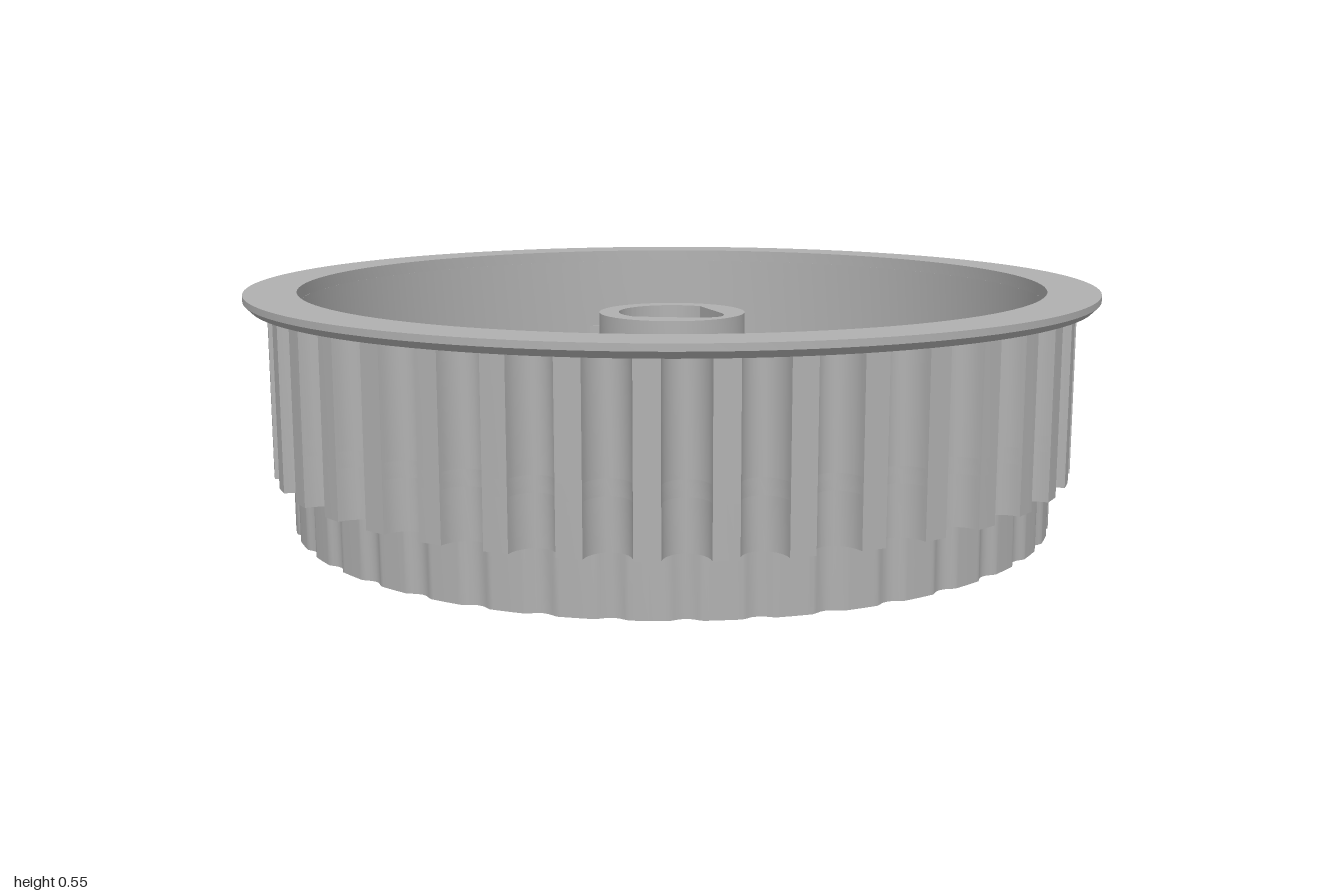
import * as THREE from 'three';
import { toCreasedNormals } from 'three/addons/utils/BufferGeometryUtils.js';

const TEETH = 40;
const WALL_R = 0.88;      // upper bowl
const CAVITY_R = 0.84;    // underside cavity
const RAD = Math.PI / 180;

// Screw positions in (x, z): r = hole, bore = counterbore, post = underside post
const screws = [
  { x: 0.73, z: 0.14, r: 0.068, bore: 0.105, post: 0.16 },
  { x: 0.14, z: 0.73, r: 0.068, bore: 0.105, post: 0.16 },
  { x: -0.73, z: -0.15, r: 0.052, bore: 0.052, post: 0.12 },
  { x: -0.15, z: -0.73, r: 0.052, bore: 0.052, post: 0.12 },
];

const circle = (x, z, r) => new THREE.Path().absarc(x, z, r, 0, Math.PI * 2);
const disc = (r) => new THREE.Shape().absarc(0, 0, r, 0, Math.PI * 2);
const swap = (p) => new THREE.Vector2(p.y, p.x);

// Extrude an (x, z) shape between two heights
function slab(shape, y0, y1, holes = []) {
  shape.holes.push(...holes);
  const g = new THREE.ExtrudeGeometry(shape, { depth: y1 - y0, bevelEnabled: false, curveSegments: 40 });
  g.rotateX(Math.PI / 2).translate(0, y1, 0);
  return toCreasedNormals(g, 0.5);
}

// Toothed outline with rounded grooves, cut off at maxR
function toothShape(maxR = 1) {
  const pts = [];
  const pitch = 360 / TEETH;
  const steps = [-1.6, 0, 1.6, 1.7, 1.95, 2.4, 3, 3.7, 4.5, 5.3, 6, 6.6, 7.05, 7.3];
  for (let i = 0; i < TEETH; i++) {
    for (const s of steps) {
      const u = Math.min(1, Math.abs(s - 4.5) / 2.9);
      const r = Math.min(maxR, 0.947 - 0.057 * Math.sqrt(1 - u * u));
      const a = (i * pitch + s) * RAD;
      pts.push(new THREE.Vector2(r * Math.cos(a), r * Math.sin(a)));
    }
  }
  return new THREE.Shape(pts);
}

// Underside cavity: a circle interrupted by screw posts blended into the wall
function cavityPath() {
  const path = new THREE.Path();
  const f = 0.06, c = CAVITY_R - f;
  for (const s of screws) {
    const t = Math.atan2(s.z, s.x), d = Math.hypot(s.x, s.z);
    const delta = Math.acos((c * c + d * d - (s.post + f) ** 2) / (2 * c * d));
    const [p, q] = [t - delta, t + delta].map((a) => ({ a, x: c * Math.cos(a), z: c * Math.sin(a) }));
    const toPost = (k) => Math.atan2(s.z - k.z, s.x - k.x);
    const fromPost = (k) => Math.atan2(k.z - s.z, k.x - s.x);
    if (s !== screws[0]) path.absarc(0, 0, CAVITY_R, path.lastAngle, p.a, false);
    else path.firstAngle = p.a;
    path.absarc(p.x, p.z, f, p.a, toPost(p), false);
    path.absarc(s.x, s.z, s.post, fromPost(p), fromPost(q), true);
    path.absarc(q.x, q.z, f, toPost(q), q.a, false);
    path.lastAngle = q.a;
  }
  path.absarc(0, 0, CAVITY_R, path.lastAngle, path.firstAngle, false);
  return path;
}

// Thin rib flaring into the hub and the wall
function ribShape() {
  const s = new THREE.Shape();
  s.moveTo(-0.07, -0.15);
  s.quadraticCurveTo(-0.016, -0.18, -0.016, -0.24);
  s.lineTo(0, -0.74);
  s.quadraticCurveTo(0, -0.85, -0.15, -0.867);
  s.lineTo(0.02, -0.884);
  s.lineTo(0.2, -0.858);
  s.quadraticCurveTo(0.064, -0.85, 0.064, -0.74);
  s.lineTo(0.05, -0.24);
  s.quadraticCurveTo(0.05, -0.18, 0.1, -0.14);
  return s;
}

// Raised pad round the large opening, mirrored over the x = z diagonal
function padShape() {
  const half = new THREE.Path();
  half.moveTo(0.02, 0.14);
  half.lineTo(0.03, 0.172);
  half.quadraticCurveTo(0.145, 0.19, 0.131, 0.328);
  half.absarc(0.4, 0.4, 0.278, 195 * RAD, 135 * RAD, true);
  half.absarc(0.14, 0.73, 0.14, -62 * RAD, 60 * RAD, false);
  half.absarc(0, 0, 0.883, 76.5 * RAD, 46 * RAD, true);
  const pts = half.getPoints(24);
  return new THREE.Shape([...pts, ...pts.map(swap).reverse()]);
}

// Keyed recess in the hub top: round with one blunt corner
function keyPath() {
  const p = new THREE.Path();
  p.absarc(0, 0, 0.128, 141 * RAD, 309 * RAD, false);
  p.lineTo(0.115, 0.04);
  p.quadraticCurveTo(0.128, 0.128, 0.04, 0.115);
  p.closePath();
  return p;
}

export function createModel() {
  const model = new THREE.Group();
  model.name = 'toothedPulley';
  const grey = new THREE.MeshStandardMaterial({ color: 0xb0b0b0 });
  grey.name = 'grey';
  const add = (name, geometry) => {
    const mesh = new THREE.Mesh(geometry, grey);
    mesh.name = name;
    model.add(mesh);
  };
  const screwHoles = (key) => screws.map((s) => circle(s.x, s.z, s[key]));
  const opening = () => circle(0.4, 0.4, 0.225);

  // Body, from the bottom up
  add('lowerRing', slab(toothShape(0.903), 0, 0.13, [cavityPath(), ...screwHoles('r')]));
  add('toothedSkirt', slab(toothShape(), 0.13, 0.24, [cavityPath(), ...screwHoles('bore')]));
  add('floor', slab(toothShape(), 0.24, 0.275, [circle(0, 0, 0.1), opening(), ...screwHoles('bore')]));
  add('toothedWall', slab(toothShape(), 0.275, 0.52, [circle(0, 0, WALL_R)]));

  // Flange with a chamfered lower edge
  const section = [[0.88, 0.52], [0.985, 0.52], [1, 0.535], [1, 0.55], [0.88, 0.55], [0.88, 0.52]];
  const lathe = new THREE.LatheGeometry(section.map(([r, y]) => new THREE.Vector2(r, y)), 120);
  add('flange', toCreasedNormals(lathe, 0.5));

  // Raised ribs and pad on the floor
  add('backRib', slab(ribShape(), 0.275, 0.33));
  add('rightRib', slab(new THREE.Shape(ribShape().getPoints(12).map(swap)), 0.275, 0.33));
  add('openingPad', slab(padShape(), 0.275, 0.33, [opening()]));

  // Hub with stepped bore
  add('hubBase', slab(disc(0.175), 0.275, 0.34, [circle(0, 0, 0.1)]));
  add('hubMiddle', slab(disc(0.175), 0.34, 0.425, [circle(0, 0, 0.068)]));
  add('hubTop', slab(disc(0.175), 0.425, 0.48, [keyPath()]));

  return model;
}
